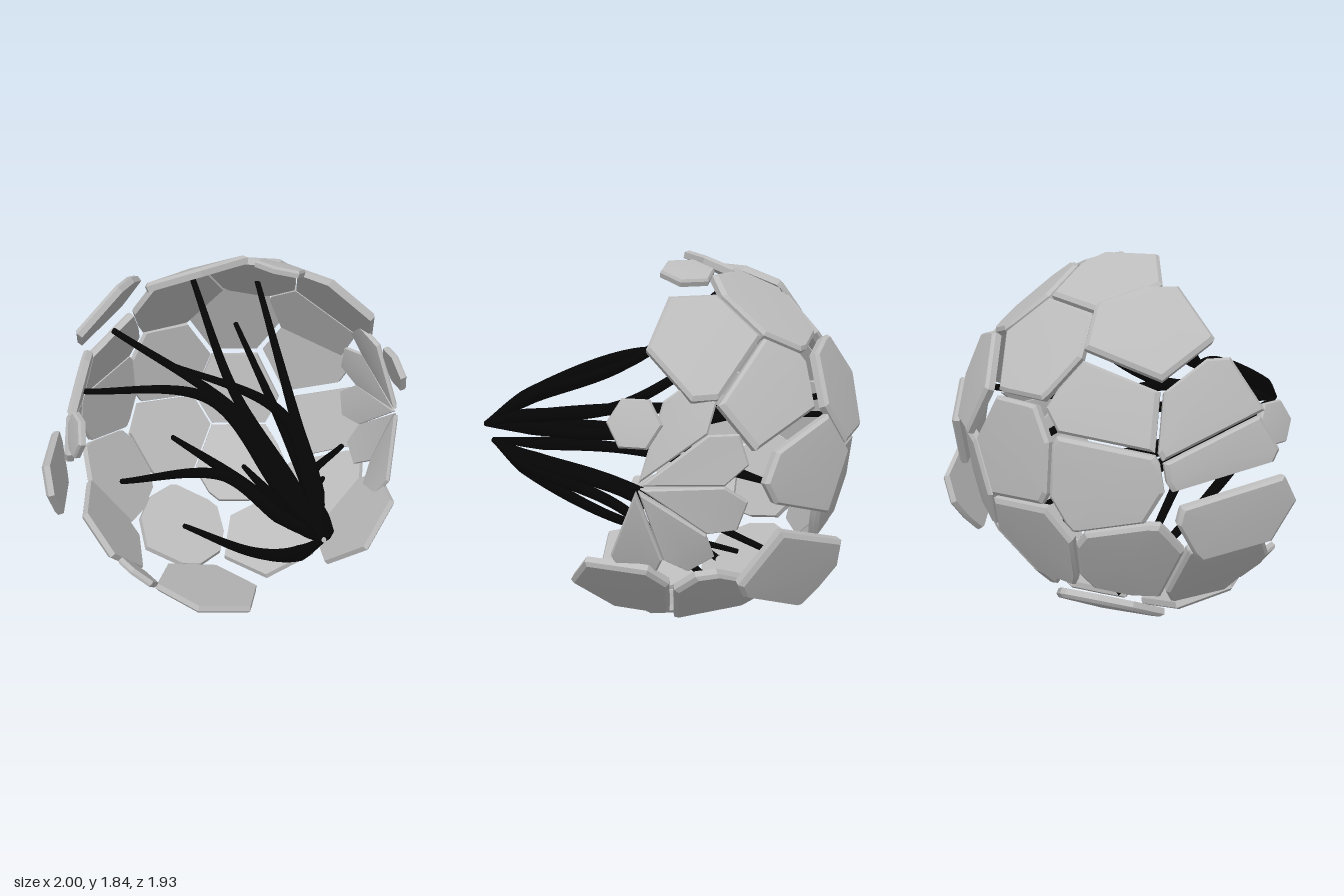
import * as THREE from 'three';
import { toCreasedNormals } from 'three/addons/utils/BufferGeometryUtils.js';

const C = new THREE.Vector3(0.03, 0.93, -0.03); // centre of the shell
const V = (x, y, z) => new THREE.Vector3(x, y, z);

// Large plates: longitude from the back, latitude, optional outward push
const PLATES = [
  [-11, 3], [-14, -24], [17, -10], [17, 20, 0.04], [-42, 1], [-45, 20],
  [-13, 38], [-24, 66], [28, 52], [-54, 39, 0.08], [67, 42], [50, 27],
  [42, 3, 0.07], [51, -20, 0.2], [17, -39], [66, -42, 0.03], [101, -42],
  [55, -70], [-31, -60, 0.05], [-123, -71, 0.02], [-49, -29],
  [-81, -34], [-78, -7, 0.12], [-76, 6], [-72, 17],
];
// Loose small plates: longitude, latitude, radius
const SMALL = [[67, 73, 0.13], [-96, 13, 0.11], [-110, -41, 0.12], [94, 19, 0.12]];
// Strands: x, y of the end on the shell, then x, y, z of the elbow
const STRANDS = [
  [-0.13, 1.72, -0.07, 1.3, 0.15], [-0.57, 1.53, -0.1, 1.24, 0.25],
  [-0.74, 1.15, -0.2, 1.29, 0.2], [0.28, 1.6, 0.24, 1.12, 0.2],
  [-0.15, 1, 0.2, 1.1, 0.1], [0.26, 1.22, 0.22, 0.97, 0.2],
  [-0.55, 0.48, -0.15, 0.88, 0.25], [-0.16, 0.55, -0.05, 0.8, 0.2],
  [-0.2, 0.17, -0.02, 0.42, 0.3], [0.25, 0.35, 0.13, 0.68, 0.25],
  [0.64, 0.38, 0.36, 0.64, 0.2], [0.76, 0.57, 0.35, 0.7, 0.15],
];

// Unit direction from longitude and latitude in degrees
function direction(lon, lat) {
  const a = THREE.MathUtils.degToRad(lon), b = THREE.MathUtils.degToRad(lat);
  return V(Math.sin(a) * Math.cos(b), Math.sin(b), -Math.cos(a) * Math.cos(b));
}

// Solid plate with a chamfered outer rim, from its inner loop of corners
function slab(loop, thick) {
  const mid = loop.reduce((s, p) => s.add(p), V(0, 0, 0)).divideScalar(loop.length);
  const n = mid.clone().sub(C).normalize();
  const ring = (k, h) => loop.map(p => p.clone().sub(mid).multiplyScalar(k).add(mid).addScaledVector(n, h));
  const rings = [loop, ring(1.02, thick * 0.65), ring(0.95, thick)];
  const top = mid.clone().addScaledVector(n, thick + 0.01);
  const pos = [];
  const tri = (...ps) => ps.forEach(p => pos.push(p.x, p.y, p.z));
  loop.forEach((_, i) => {
    const j = (i + 1) % loop.length;
    tri(mid, loop[j], loop[i]);
    for (let r = 0; r < 2; r++) {
      tri(rings[r][i], rings[r][j], rings[r + 1][j]);
      tri(rings[r][i], rings[r + 1][j], rings[r + 1][i]);
    }
    tri(rings[2][i], rings[2][j], top);
  });
  const g = new THREE.BufferGeometry();
  g.setAttribute('position', new THREE.Float32BufferAttribute(pos, 3));
  return toCreasedNormals(g, 0.35);
}

// Hexagon lying across direction n, at distance d from the shell centre
function hexagon(n, radius, d) {
  const a = V(0, 1, 0).cross(n).normalize(), b = n.clone().cross(a);
  return Array.from({ length: 6 }, (_, i) => n.clone().multiplyScalar(d)
    .addScaledVector(a, radius * Math.cos(i * Math.PI / 3))
    .addScaledVector(b, radius * Math.sin(i * Math.PI / 3)));
}

// Keep the part of a polygon on the positive side of a plane
function clip(poly, n, gap) {
  const out = [];
  poly.forEach((p, i) => {
    const q = poly[(i + 1) % poly.length];
    const s = p.dot(n) - gap, t = q.dot(n) - gap;
    if (s >= 0) out.push(p);
    if (s * t < 0) out.push(p.clone().lerp(q, s / (s - t)));
  });
  return out;
}

// Kite on the +x side, pointing back from the open rim at the given angle
function kite(angle) {
  const c = Math.cos(angle), s = Math.sin(angle);
  const corner = (along, side) => {
    const z = 0.02 - along * c + side * s, y = 0.95 + along * s + side * c;
    return V(C.x + Math.sqrt(0.75 - (y - C.y) ** 2 - (z - C.z) ** 2), y, z);
  };
  return [corner(0.02, 0), corner(0.35, -0.115), corner(0.47, -0.07), corner(0.47, 0.07), corner(0.35, 0.115)];
}

// Tube that swells towards the bundle and narrows at both ends
function strand([x, y, ex, ey, ez]) {
  const end = V(x, y, C.z - Math.sqrt(0.75 - (x - C.x) ** 2 - (y - C.y) ** 2));
  const elbow = V(ex, ey, ez);
  const tip = ey > 0.85 ? V(0.07, 0.95, 0.95) : V(0.11, 0.88, 0.9);
  const gather = elbow.clone().lerp(tip, 0.6).setZ(0.28 * ez + 0.72 * tip.z);
  const curve = new THREE.CatmullRomCurve3([end, elbow, gather, tip]);
  const n = 40, sides = 8;
  const g = new THREE.TubeGeometry(curve, n, 1, sides);
  const pos = g.attributes.position, p = V(0, 0, 0);
  for (let i = 0; i <= n; i++) {
    const t = i / n, c = curve.getPointAt(t);
    const r = t < 0.85 ? 0.015 + 0.026 * t : 0.0371 - 0.16 * (t - 0.85);
    for (let j = 0; j <= sides; j++) {
      const k = i * (sides + 1) + j;
      p.fromBufferAttribute(pos, k).sub(c).multiplyScalar(r).add(c);
      pos.setXYZ(k, p.x, p.y, p.z);
    }
  }
  return g;
}

export function createModel() {
  const model = new THREE.Group();
  const grey = new THREE.MeshStandardMaterial({ color: 0xbcbcbc });
  grey.name = 'plateGrey';
  const black = new THREE.MeshStandardMaterial({ color: 0x050505 });
  black.name = 'strandBlack';
  const shell = new THREE.Group(), bundle = new THREE.Group();
  shell.name = 'shell';
  bundle.name = 'strandBundle';
  model.add(shell, bundle);
  const add = (parent, name, geometry, material) => {
    const m = new THREE.Mesh(geometry, material);
    m.name = name;
    parent.add(m);
  };

  // Large plates, cut halfway to each neighbour
  const sites = PLATES.map(([lon, lat, push = 0]) => ({ n: direction(lon, lat), push }));
  sites.forEach(s => {
    let poly = hexagon(s.n, 0.295, 0.84);
    for (const o of sites) {
      if (o !== s) poly = clip(poly, s.n.clone().sub(o.n).normalize(), 0.005);
    }
    add(shell, 'plate', slab(poly.map(p => p.addScaledVector(s.n, s.push).add(C)), 0.045), grey);
  });

  // Small loose plates
  SMALL.forEach(([lon, lat, r]) => {
    const loop = hexagon(direction(lon, lat), r, 0.87).map(p => p.add(C));
    add(shell, 'smallPlate', slab(loop, 0.035), grey);
  });

  // Pointed plates fanned around one point of the rim
  for (let i = 0; i < 5; i++) {
    add(shell, 'pointedPlate', slab(kite(0.96 - 0.64 * i), 0.03), grey);
  }

  // Strands gathering at the front
  STRANDS.forEach(s => add(bundle, 'strand', strand(s), black));
  return model;
}
